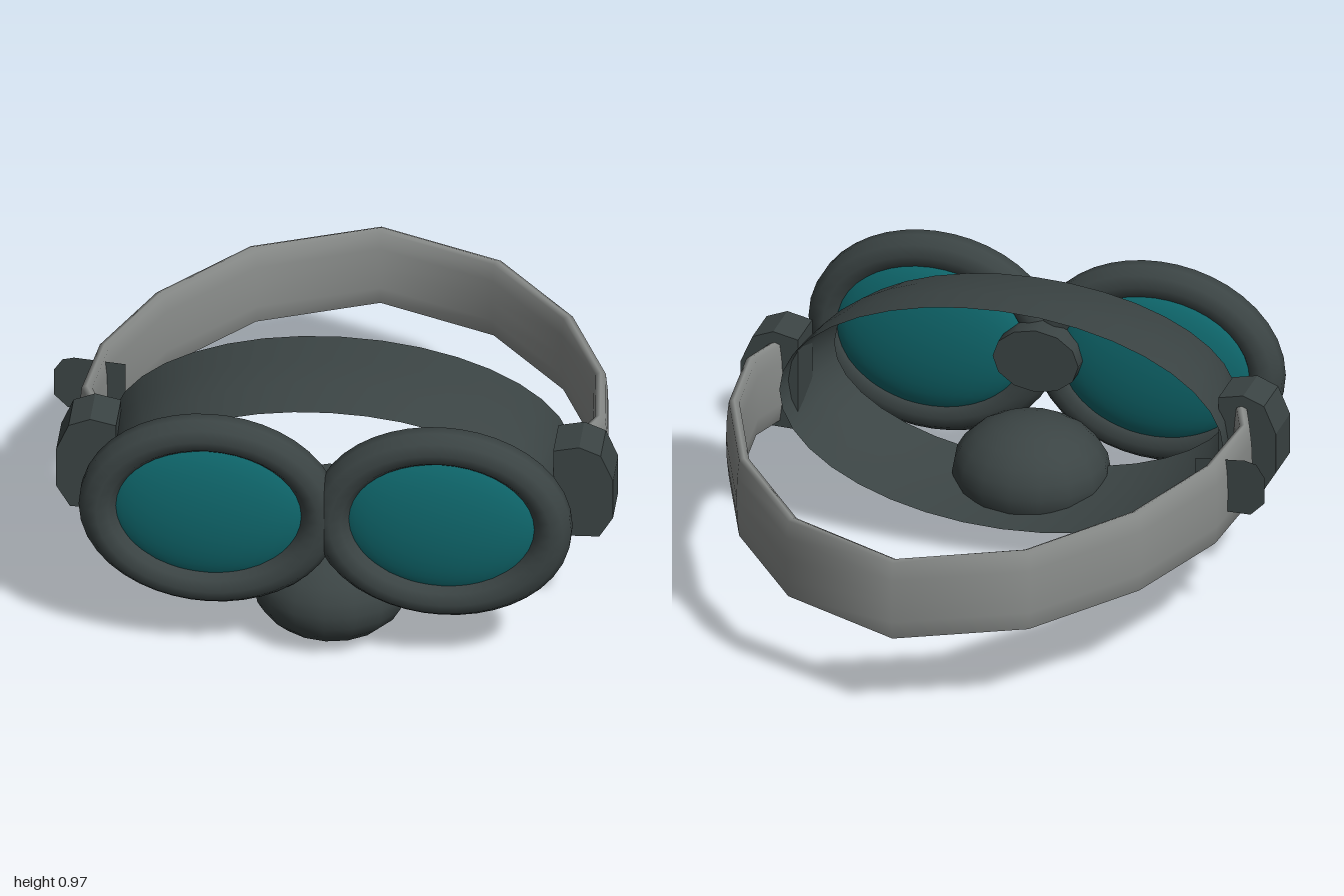
import * as THREE from 'three';

const rubber = new THREE.MeshStandardMaterial({ color: 0x3b4444, side: THREE.DoubleSide });
rubber.name = 'dark rubber';
const webbing = new THREE.MeshStandardMaterial({ color: 0x8b8e8c, side: THREE.DoubleSide });
webbing.name = 'grey webbing';
const glass = new THREE.MeshStandardMaterial({ color: 0x0f686d });
glass.name = 'teal glass';

// Skin a list of closed rings, each a list of [x, y, z]
function loft(rings) {
  const n = rings[0].length, index = [];
  for (let i = 0; i < rings.length - 1; i++) {
    for (let j = 0; j < n; j++) {
      const a = i * n + j, b = i * n + (j + 1) % n;
      index.push(a, b, a + n, b, b + n, a + n);
    }
  }
  const g = new THREE.BufferGeometry();
  g.setAttribute('position', new THREE.Float32BufferAttribute(rings.flat(2), 3));
  g.setIndex(index);
  g.computeVertexNormals();
  return g;
}

// Ellipse of points around the z axis
function oval(rx, ry, cy, z, n) {
  return Array.from({ length: n }, (_, i) => {
    const a = (i / n) * Math.PI * 2;
    return [Math.cos(a) * rx, cy + Math.sin(a) * ry, z];
  });
}

const outline = (pts) => new THREE.Shape(pts.map(([x, y]) => new THREE.Vector2(x, y)));

export function createModel() {
  const model = new THREE.Group();
  model.name = 'goggles';
  const body = new THREE.Group();
  body.name = 'gogglesBody';
  body.position.x = 0.032;
  model.add(body);

  function add(name, geometry, material, x = 0, y = 0, z = 0) {
    const mesh = new THREE.Mesh(geometry, material);
    mesh.name = name;
    mesh.position.set(x, y, z);
    body.add(mesh);
    return mesh;
  }

  for (const s of [1, -1]) {
    const side = s > 0 ? 'left' : 'right';

    // Oval rim with a constant round section
    const path = new THREE.CatmullRomCurve3(
      oval(0.387, 0.307, 0, 0, 20).map((p) => new THREE.Vector3(...p)), true);
    add(side + 'Rim', new THREE.TubeGeometry(path, 40, 0.068, 10, true), rubber, s * 0.405, 0.585, 0.878);

    // Bulging lens
    const lens = new THREE.SphereGeometry(1, 32, 20);
    lens.scale(0.36, 0.29, 0.093);
    add(side + 'Lens', lens, glass, s * 0.405, 0.585, 0.859);

    // Chamfered strap holder
    const holder = outline([
      [0.76, 0.365], [0.92, 0.37], [0.968, 0.45], [0.968, 0.6],
      [0.925, 0.7], [0.85, 0.73], [0.76, 0.71],
    ].map(([x, y]) => [x * s, y]));
    add(side + 'Buckle', new THREE.ExtrudeGeometry(holder, { depth: 0.167, bevelEnabled: false }),
      rubber, 0, 0, 0.42);
  }

  // Open face frame, flaring towards the face
  const frameRings = [
    [0.34, 0.803, 0.42, 0.55], [0.48, 0.79, 0.411, 0.552],
    [0.61, 0.767, 0.393, 0.554], [0.74, 0.727, 0.357, 0.556],
  ].map(([z, rx, ry, cy]) => oval(rx, ry, cy, z, 36));
  add('faceFrame', loft(frameRings), rubber);

  // Bridge between the lenses
  const bridge = new THREE.CylinderGeometry(1, 1, 0.14, 12);
  bridge.rotateX(Math.PI / 2);
  bridge.scale(0.155, 0.118, 1);
  add('bridge', bridge, rubber, 0, 0.587, 0.81);

  // Rounded nose pod
  const nose = new THREE.SphereGeometry(1, 16, 12);
  nose.scale(0.277, 0.197, 0.26);
  add('nosePod', nose, rubber, 0, 0.199, 0.69);

  // Head strap: a flat band swept round the back in straight runs
  const half = [[0.825, 0.47], [0.892, 0.3], [0.862, 0], [0.708, -0.38], [0.424, -0.735]];
  const route = [...half, [0, -0.92], ...half.map(([x, z]) => [-x, z]).reverse()];
  const section = [
    [0.153, 0], [0.145, 0.018], [0.08, 0.025], [0, 0.028], [-0.08, 0.025], [-0.145, 0.018],
    [-0.153, 0], [-0.145, -0.018], [-0.08, -0.025], [0, -0.028], [0.08, -0.025], [0.145, -0.018],
  ];
  const strapRings = route.map(([x, z], i) => {
    const p = route[Math.max(i - 1, 0)], q = route[Math.min(i + 1, route.length - 1)];
    const t = new THREE.Vector2(q[0] - p[0], q[1] - p[1]).normalize();
    const cy = 0.512 + z * 0.058;
    return section.map(([h, o]) => [x - t.y * o, cy + h, z + t.x * o]);
  });
  add('headStrap', loft(strapRings), webbing);

  // Thin adjuster tab on the right run of the strap
  const tab = outline([
    [-0.78, 0.45], [-0.98, 0.45], [-1.03, 0.5], [-1.03, 0.6],
    [-1.0, 0.645], [-0.96, 0.655], [-0.78, 0.64],
  ]);
  add('strapAdjuster', new THREE.ShapeGeometry(tab), rubber, 0, 0, 0.085);

  return model;
}
